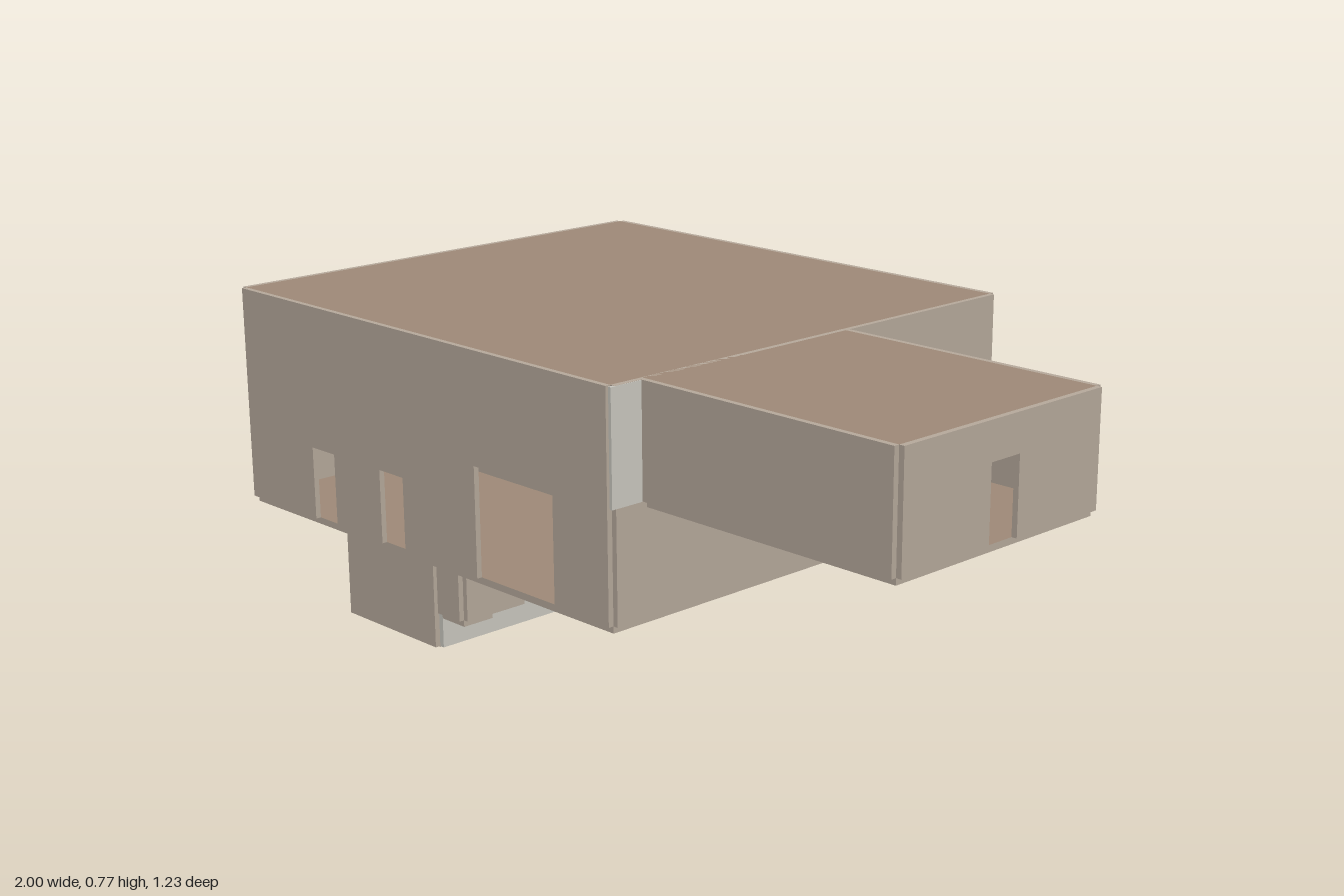
import * as THREE from 'three';

const T = 0.013; // panel thickness
const mat = (color) => new THREE.MeshStandardMaterial({ color });
const tan = mat(0xb8ab9d), pale = mat(0xcccac2), brown = mat(0xa08b79), dark = mat(0x585858);

export function createModel() {
  const model = new THREE.Group();

  const add = (parent, name, geo, material) => {
    const mesh = new THREE.Mesh(geo, material);
    mesh.name = name;
    parent.add(mesh);
    return mesh;
  };

  const box = (parent, name, [x0, x1], [y0, y1], [z0, z1], material) => {
    const m = add(parent, name, new THREE.BoxGeometry(x1 - x0, y1 - y0, z1 - z0), material);
    m.position.set((x0 + x1) / 2, (y0 + y1) / 2, (z0 + z1) / 2);
    return m;
  };

  // Horizontal slab: brown above, dark below
  const slab = (parent, name, x, y, z) =>
    box(parent, name, x, y, z, [tan, tan, brown, dark, tan, tan]);

  // Upright panel; openings [u0, u1, v0, v1] at the sill become notches, others holes
  const panel = (parent, name, axis, at, [u0, u1], [y0, y1], openings, material) => {
    const shape = new THREE.Shape();
    shape.moveTo(u0, y0);
    for (const [a, b, v0, v1] of openings) {
      if (v0 > y0) {
        const hole = new THREE.Path();
        hole.moveTo(a, v0).lineTo(a, v1).lineTo(b, v1).lineTo(b, v0).closePath();
        shape.holes.push(hole);
      } else {
        shape.lineTo(a, y0).lineTo(a, v1).lineTo(b, v1).lineTo(b, y0);
      }
    }
    shape.lineTo(u1, y0).lineTo(u1, y1).lineTo(u0, y1).closePath();
    const geo = new THREE.ExtrudeGeometry(shape, { depth: T, bevelEnabled: false });
    if (axis === 'x') geo.rotateY(-Math.PI / 2).translate(at + T, 0, 0);
    else geo.translate(0, 0, at);
    return add(parent, name, geo, material);
  };

  // Four panels standing just outside a room's footprint
  const walls = (parent, x, y, z, open, mats = {}) => {
    const sides = {
      front: ['z', z[1], x], back: ['z', z[0] - T, x],
      left: ['x', x[1], z], right: ['x', x[0] - T, z],
    };
    for (const [side, [axis, at, span]] of Object.entries(sides)) {
      if (open[side] === null) continue;
      panel(parent, side + 'Wall', axis, at, span, y, open[side] || [], mats[side] || tan);
    }
  };

  const group = (name) => {
    const g = new THREE.Group();
    g.name = name;
    model.add(g);
    return g;
  };

  // Main block, two storeys
  const main = group('mainBlock');
  const mx = [-0.987, 0.298], mz = [-0.6, 0.6];
  walls(main, mx, [0.26, 0.775], mz, {
    front: [[-0.73, -0.645, 0.26, 0.435], [-0.472, -0.386, 0.26, 0.435], [-0.13, 0.128, 0.26, 0.517]],
    back: [[-0.13, -0.043, 0.517, 0.69]],
    left: [[-0.342, -0.17, 0.26, 0.435], [-0.083, 0.515, 0.517, 0.76]],
    right: [[-0.342, -0.17, 0.26, 0.435]],
  });
  slab(main, 'groundFloor', mx, [0.244, 0.26], mz);
  slab(main, 'upperFloor', mx, [0.502, 0.517], mz);
  slab(main, 'roof', mx, [0.76, 0.775], mz);
  box(main, 'cornerPanel', [0.305, 0.3125], [0.517, 0.7745], [0.528, 0.612], pale);
  box(main, 'windowParapet', [-0.13, -0.043], [0.517, 0.602], [-0.6, -0.59], pale);

  // Side wing on the upper storey
  const wing = group('sideWing');
  const wx = [0.3, 0.987], wz = [-0.085, 0.514];
  walls(wing, wx, [0.517, 0.775], wz, { right: null, left: [[0.172, 0.258, 0.517, 0.69]] });
  slab(wing, 'wingFloor', wx, [0.502, 0.517], wz);
  slab(wing, 'wingRoof', wx, [0.76, 0.775], wz);

  // Cellar below the main block
  const cellar = group('cellar');
  const cx = [-0.73, -0.4], cz = [0.003, 0.514];
  walls(cellar, cx, [0.002, 0.244], cz, { left: [[0.345, 0.51, 0.09, 0.24]] }, { left: pale });
  slab(cellar, 'cellarFloor', cx, [0, T], cz);

  // Stepped stair passage beside the cellar
  const stair = group('stairPassage');
  const sx = [-0.387, -0.308];
  const steps = [[0.43, 0.514, 0.09], [0.345, 0.43, 0.09], [0.26, 0.345, 0.175]];
  steps.forEach(([z0, z1, y], i) => {
    slab(stair, 'step' + (i + 1), sx, i ? [y, y + T] : [y - 0.016, y], [z0, z1]);
    box(stair, 'stairSide', [-0.308, -0.295], [y, 0.244], [z0, z1], tan);
  });
  box(stair, 'stairFront', [-0.387, -0.308], [0.09, 0.244], [0.514, 0.527], tan);
  box(stair, 'riser', sx, [0.09, 0.188], [0.335, 0.345], pale);
  box(stair, 'stairEnd', sx, [0.175, 0.244], [0.26, 0.27], pale);

  return model;
}
